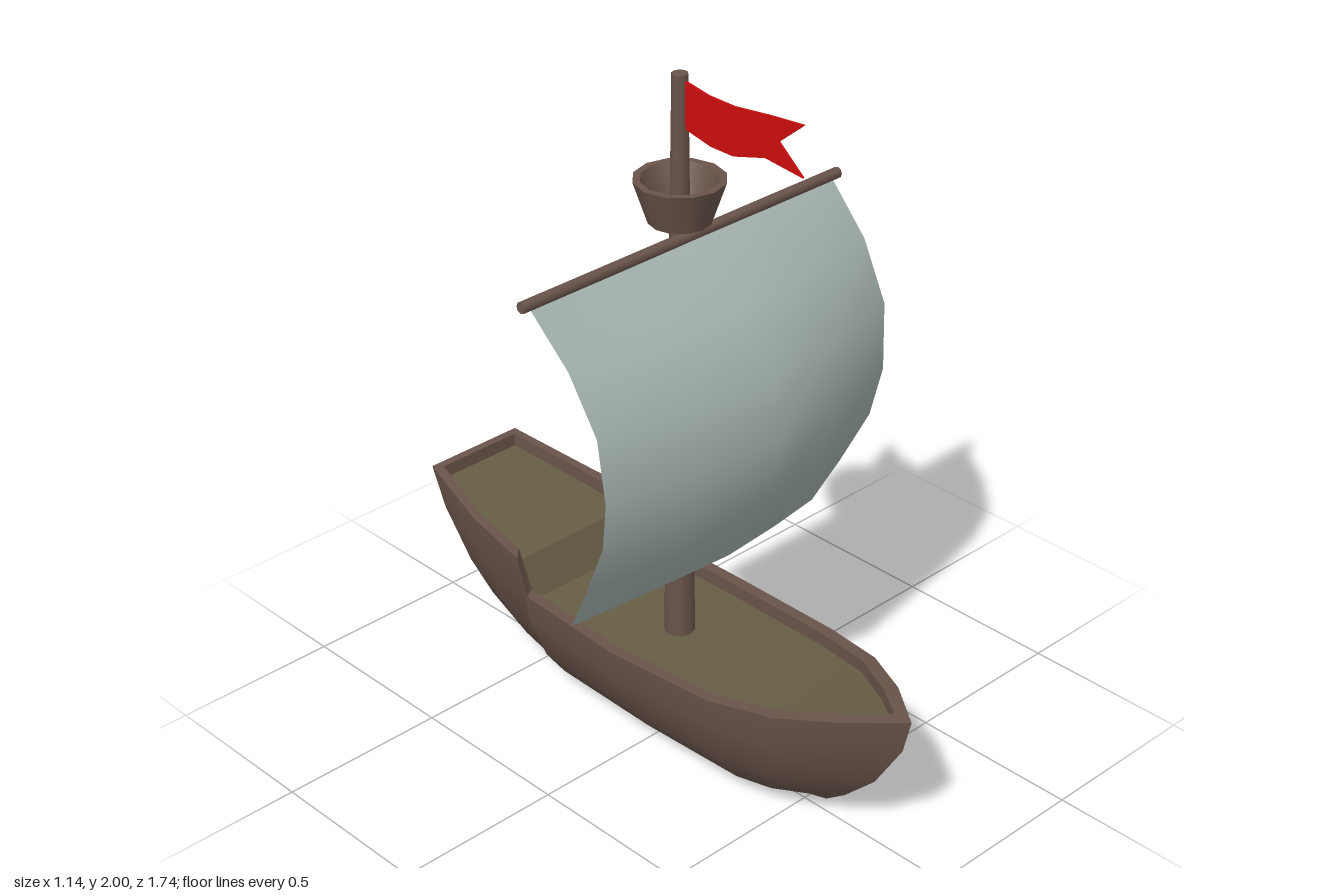
import * as THREE from 'three';
import { mergeGeometries, toCreasedNormals } from 'three/addons/utils/BufferGeometryUtils.js';

const material = (color, side = THREE.FrontSide) =>
  new THREE.MeshStandardMaterial({ color, side });

const V = (x, y, z) => new THREE.Vector3(x, y, z);

// Skin a grid of points (rows of equal length)
function skin(rows) {
  const pts = [];
  for (let i = 0; i < rows.length - 1; i++) {
    for (let j = 0; j < rows[i].length - 1; j++) {
      const a = rows[i][j], b = rows[i][j + 1], c = rows[i + 1][j + 1], d = rows[i + 1][j];
      pts.push(a, b, c, a, c, d);
    }
  }
  return new THREE.BufferGeometry().setFromPoints(pts);
}

// Hull stations, stern to bow:
// sheer z, sheer y, half width, keel z, keel y, inner z, inner half width
const STATIONS = [
  [-0.87, 0.54, 0.16, -0.70, 0.075, -0.845, 0.137],
  [-0.62, 0.495, 0.215, -0.53, 0.03, -0.62, 0.187],
  [-0.40, 0.475, 0.245, -0.38, 0.005, -0.435, 0.207],
  [-0.36, 0.365, 0.247, -0.36, 0.003, -0.38, 0.212],
  [0, 0.36, 0.26, 0, 0, 0, 0.225],
  [0.36, 0.375, 0.243, 0.34, 0.003, 0.355, 0.208],
  [0.56, 0.40, 0.20, 0.43, 0.012, 0.545, 0.165],
  [0.72, 0.425, 0.115, 0.52, 0.03, 0.69, 0.085],
  [0.87, 0.445, 0, 0.58, 0.04, 0.81, 0],
];

// Section: height fraction, width fraction, stem curve fraction
const SECTION = [[0, 0, 0], [0.12, 0.46, 0.23], [0.37, 0.73, 0.59], [0.74, 0.96, 0.91], [1, 1, 1]];
const DECK_DROP = 0.04;

function addHull(group, wood, deckMat) {
  const ribs = STATIONS.map(([sz, sy, hw, kz, ky, iz, ix]) => {
    const side = (s) => SECTION.map(([t, w, f]) =>
      V(s * hw * w, ky + (sy - ky) * t, kz + (sz - kz) * (sz > 0 ? f : t)));
    const inner = (s) => [V(s * ix, sy, iz), V(s * ix, sy - DECK_DROP, iz)];
    return { left: side(1), right: side(-1), inL: inner(1), inR: inner(-1) };
  });

  // Planking, rim and inner bulwarks in one continuous strip
  const shell = skin(ribs.map(({ left, right, inL, inR }) =>
    [inR[1], inR[0], ...[...right].reverse(), ...left.slice(1), inL[0], inL[1]]));

  // Flat raked transom with its rim and inner wall
  const { left, right, inL, inR } = ribs[0];
  const transom = skin(left.map((p, i) => [right[i], p]).reverse());
  const sternRim = skin([[left[4], right[4]], [inL[0], inR[0]], [inL[1], inR[1]]]);

  const hull = new THREE.Mesh(
    toCreasedNormals(mergeGeometries([shell, transom, sternRim]), 0.75), wood);
  hull.name = 'hull';

  // Deck with the step up to the raised stern
  const deck = new THREE.Mesh(
    toCreasedNormals(skin(ribs.map((r) => [r.inL[1], r.inR[1]])), 0.5), deckMat);
  deck.name = 'deck';
  group.add(hull, deck);
}

// Sail rows: centre z, centre y, edge z, edge y, half width
const SAIL = [
  [0.035, 1.545, 0.03, 1.545, 0.545],
  [0.23, 1.41, 0.165, 1.41, 0.537],
  [0.345, 1.25, 0.255, 1.25, 0.527],
  [0.375, 1.08, 0.27, 1.06, 0.515],
  [0.355, 0.92, 0.24, 0.91, 0.50],
  [0.29, 0.785, 0.155, 0.735, 0.48],
  [0.195, 0.65, 0.07, 0.575, 0.46],
];

export function createModel() {
  const group = new THREE.Group();
  group.name = 'sailingShip';
  const wood = material(0x69544a);
  const woodOpen = material(0x69544a, THREE.DoubleSide);

  const add = (name, geometry, mat, x = 0, y = 0, z = 0) => {
    const mesh = new THREE.Mesh(geometry, mat);
    mesh.name = name;
    mesh.position.set(x, y, z);
    group.add(mesh);
    return mesh;
  };

  addHull(group, wood, material(0x665d44));

  // Mast and yard
  add('mast', new THREE.CylinderGeometry(0.022, 0.044, 1.69, 10), wood, 0, 1.155, 0.005);
  add('yard', new THREE.CylinderGeometry(0.016, 0.016, 1.14, 8), wood, 0, 1.55, 0.03)
    .rotation.z = Math.PI / 2;

  // Lookout basket: floor, outer wall, rim and inner wall
  const basket = [[0, 1.59], [0.085, 1.59], [0.125, 1.71], [0.105, 1.71], [0.07, 1.615], [0, 1.615]]
    .map(([r, y]) => new THREE.Vector2(r, y));
  add('lookoutBasket', toCreasedNormals(new THREE.LatheGeometry(basket, 12), 0.6),
    woodOpen, 0, 0, 0.005);

  // Billowing sail
  const sailRows = SAIL.map(([cz, cy, ez, ey, w]) => [-1, -0.5, 0, 0.5, 1].map((u) => {
    const k = Math.abs(u) ** 1.3;
    return V(u * w, cy + (ey - cy) * k, cz + (ez - cz) * k);
  }).reverse());
  // Rows run left to right and downward, so flip to face forward
  const sailGeometry = skin(sailRows.map((row) => row.reverse()).reverse());
  add('sail', toCreasedNormals(sailGeometry, 1.2), material(0xa3b1ae, THREE.DoubleSide));

  // Swallow-tailed flag streaming forward
  const flagShape = new THREE.Shape([
    [0.01, 1.987], [0.11, 1.971], [0.2, 1.97], [0.32, 1.985], [0.44, 1.996], [0.355, 1.925],
    [0.44, 1.855], [0.31, 1.867], [0.2, 1.835], [0.12, 1.835], [0.01, 1.857],
  ].map(([z, y]) => new THREE.Vector2(-z, y)));
  const flag = new THREE.ExtrudeGeometry(flagShape, { depth: 0.006, bevelEnabled: false });
  flag.translate(0, 0, -0.003).rotateY(Math.PI / 2);
  add('flag', flag, material(0xcc0d0d));

  return group;
}
